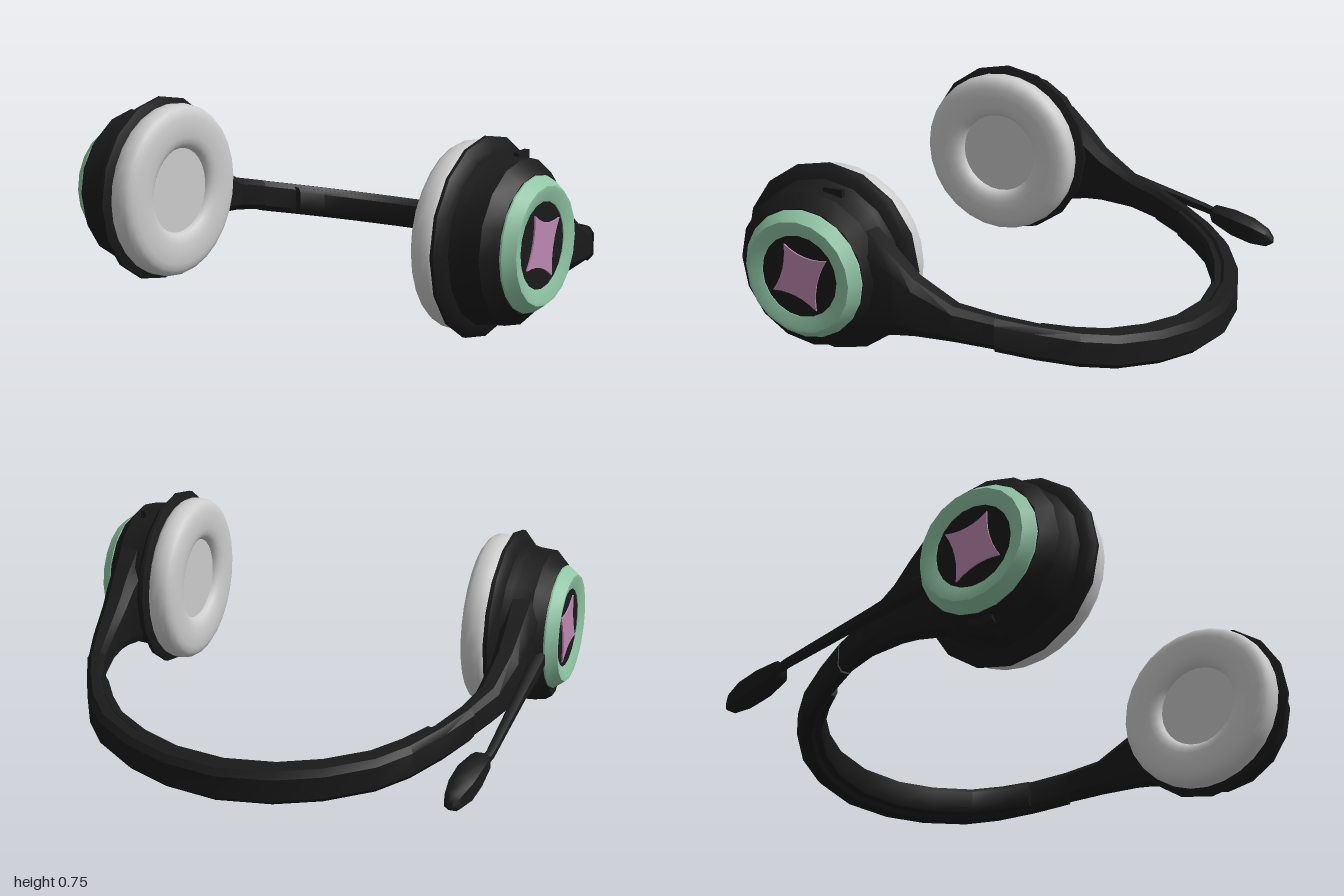
import * as THREE from 'three';
import { toCreasedNormals } from 'three/addons/utils/BufferGeometryUtils.js';

const CUP_Y = 0.38, CUP_Z = 0.47;
const mat = (color) => new THREE.MeshStandardMaterial({ color });
const black = mat(0x1a1a1a), green = mat(0x8fc4a4), pink = mat(0xbc88b0), grey = mat(0xcccccc);

function add(parent, name, geometry, material) {
  const mesh = new THREE.Mesh(geometry, material);
  mesh.name = name;
  parent.add(mesh);
  return mesh;
}

// Skin a row of equal-sized loops, with capped ends and outward faces
function loft(loops, crease = 0.6) {
  const n = loops[0].length, pts = loops.flat(), tris = [];
  for (let i = 0; i < loops.length - 1; i++) {
    for (let j = 0; j < n; j++) {
      const a = i * n + j, b = i * n + (j + 1) % n;
      tris.push([a, b, b + n], [a, b + n, a + n]);
    }
  }
  const last = (loops.length - 1) * n;
  for (let j = 1; j < n - 1; j++) tris.push([0, j + 1, j], [last, last + j, last + j + 1]);
  let volume = 0;
  const cross = new THREE.Vector3();
  for (const [a, b, c] of tris) volume += pts[a].dot(cross.crossVectors(pts[b], pts[c]));
  const geo = new THREE.BufferGeometry().setFromPoints(pts);
  geo.setIndex(tris.flatMap(([a, b, c]) => (volume > 0 ? [a, b, c] : [a, c, b])));
  return toCreasedNormals(geo, crease);
}

// Bevelled rectangular section between an inner and an outer point in plan
const OCTAGON = [[0.25, -1], [0.75, -1], [1, -0.65], [1, 0.65], [0.75, 1], [0.25, 1], [0, 0.65], [0, -0.65]];
function section(xo, zo, xi, zi, yo, yi, half) {
  return OCTAGON.map(([u, v]) => new THREE.Vector3(
    xi + (xo - xi) * u, yi + (yo - yi) * u + v * half, zi + (zo - zi) * u));
}

// Height of the sloping centre line of the band
const slopeY = (z) => 0.21 + 0.24 * (z + 0.24);

// Outer x, z and inner x, z of the band from its end to the middle
const BAND = [
  [0.82, -0.25, 0.725, -0.22], [0.755, -0.385, 0.665, -0.37], [0.67, -0.53, 0.6, -0.46],
  [0.57, -0.64, 0.51, -0.555], [0.4, -0.745, 0.36, -0.645], [0.22, -0.81, 0.2, -0.705], [0, -0.84, 0, -0.73],
];
function bandLayer(rows, from, to, half) {
  const all = [...rows, ...rows.slice(0, -1).reverse().map(([a, b, c, d]) => [-a, b, -c, d])];
  return loft(all.map(([xo, zo, xi, zi]) => {
    const at = (t) => [xo + (xi - xo) * t, zo + (zi - zo) * t];
    const [ax, az] = at(from), [bx, bz] = at(to);
    return section(ax, az, bx, bz, slopeY(az), slopeY(bz), half);
  }));
}

// Turned part on the axis of a cup; points are [radius, distance along x]
function turned(points, segments, crease) {
  const geo = new THREE.LatheGeometry(points.map(([r, x]) => new THREE.Vector2(r, x)), segments);
  return toCreasedNormals(geo, crease);
}

function earCup(s) {
  const cup = new THREE.Group();
  cup.name = s > 0 ? 'leftEarCup' : 'rightEarCup';
  cup.position.set(0, CUP_Y, CUP_Z);
  const turn = (name, points, segments, crease, material) => {
    add(cup, name, turned(points, segments, crease), material).rotation.z = -s * Math.PI / 2;
  };

  // Shell with its thin flange
  turn('cupShell', [[0, 0.7], [0.31, 0.72], [0.355, 0.735], [0.372, 0.742], [0.372, 0.755], [0.35, 0.775],
    [0.32, 0.785], [0.315, 0.81], [0.31, 0.83], [0.305, 0.9], [0.255, 0.95], [0, 0.955]], 16, 0.5, black);

  // Soft cushion: a squarish ring
  const pad = [];
  for (let i = 0; i <= 20; i++) {
    const a = i / 20 * Math.PI * 2;
    const squash = (v) => Math.sign(v) * Math.pow(Math.abs(v), 0.7);
    pad.push([0.258 + 0.09 * squash(Math.cos(a)), 0.685 + 0.06 * squash(Math.sin(a))]);
  }
  turn('cushion', pad, 28, 1.2, grey);
  turn('speakerCover', [[0, 0.662], [0.185, 0.662], [0.185, 0.71]], 28, 0.5, grey);

  // Coloured ring, dark centre plate and star inlay
  turn('accentRing', [[0.16, 0.94], [0.25, 0.945], [0.25, 0.957], [0.218, 1.0], [0.205, 1.0], [0.16, 0.985], [0.16, 0.94]],
    20, 0.5, green);
  turn('centrePlate', [[0.165, 0.95], [0.165, 0.982], [0, 0.982]], 20, 0.5, black);

  const tips = [[0.53, 0.5], [0.35, 0.46], [0.4, 0.255], [0.585, 0.31]].map(([z, y]) => [-s * (z - CUP_Z), y - CUP_Y]);
  const star = new THREE.Shape();
  star.moveTo(...tips[0]);
  tips.forEach(([x, y], i) => {
    const [nx, ny] = tips[(i + 1) % 4];
    star.quadraticCurveTo((x + nx) * 0.3, (y + ny) * 0.3, nx, ny);
  });
  const inlay = add(cup, 'starInlay',
    new THREE.ExtrudeGeometry(star, { depth: 0.01, bevelEnabled: false, curveSegments: 6 }), pink);
  inlay.rotation.y = s * Math.PI / 2;
  inlay.position.x = s * 0.978;
  return cup;
}

// Flared arm from the band end into the cup: z, inner x, outer x, bottom y, top y
const ARM = [
  [-0.26, 0.745, 0.812, 0.148, 0.272], [-0.1, 0.78, 0.87, 0.172, 0.31], [0.05, 0.792, 0.9, 0.177, 0.4],
  [0.12, 0.792, 0.913, 0.172, 0.47], [0.22, 0.785, 0.928, 0.155, 0.56], [0.29, 0.785, 0.928, 0.145, 0.59],
  [0.38, 0.785, 0.9, 0.15, 0.6],
];
const arm = (s) => loft(ARM.map(([z, xi, xo, y0, y1]) =>
  section(s * xo, z, s * xi, z, (y0 + y1) / 2, (y0 + y1) / 2, (y1 - y0) / 2)));

// Microphone parts: z, inner x, outer x, half height
const BOOM = [[0.3, -0.9, -0.955, 0.04], [0.18, -0.91, -0.96, 0.035], [0, -0.912, -0.953, 0.024], [-0.4, -0.915, -0.945, 0.018], [-0.47, -0.905, -0.935, 0.016]];
const MIC = [[-0.43, -0.9, -0.94, 0.016], [-0.45, -0.87, -0.946, 0.035], [-0.54, -0.848, -0.944, 0.05],
  [-0.63, -0.843, -0.935, 0.05], [-0.7, -0.85, -0.912, 0.035], [-0.727, -0.868, -0.89, 0.014]];
const micPart = (rows) => loft(rows.map(([z, xi, xo, h]) => section(xo, z, xi, z, slopeY(z), slopeY(z), h)), 0.8);

export function createModel() {
  const model = new THREE.Group();
  model.name = 'headset';

  add(model, 'headband', bandLayer(BAND, 0, 0.72, 0.066), black);
  add(model, 'headbandPad', bandLayer(BAND.slice(1), 0.55, 1, 0.054), black);

  for (const s of [1, -1]) {
    model.add(earCup(s));
    add(model, s > 0 ? 'leftArm' : 'rightArm', arm(s), black);
  }

  add(model, 'microphoneBoom', micPart(BOOM), black);
  add(model, 'microphone', micPart(MIC), black);

  // Slim button on the left cup, small bump under the right cup
  add(model, 'button', new THREE.BoxGeometry(0.02, 0.03, 0.08), black).position.set(0.85, 0.68, 0.39);
  add(model, 'lowerBump', loft([[0.42, 0.01], [0.44, 0.035], [0.5, 0.035], [0.52, 0.01]].map(([z, h]) =>
    section(-0.94, z, -0.84, z, 0.11, 0.09, h))), black);
  return model;
}
